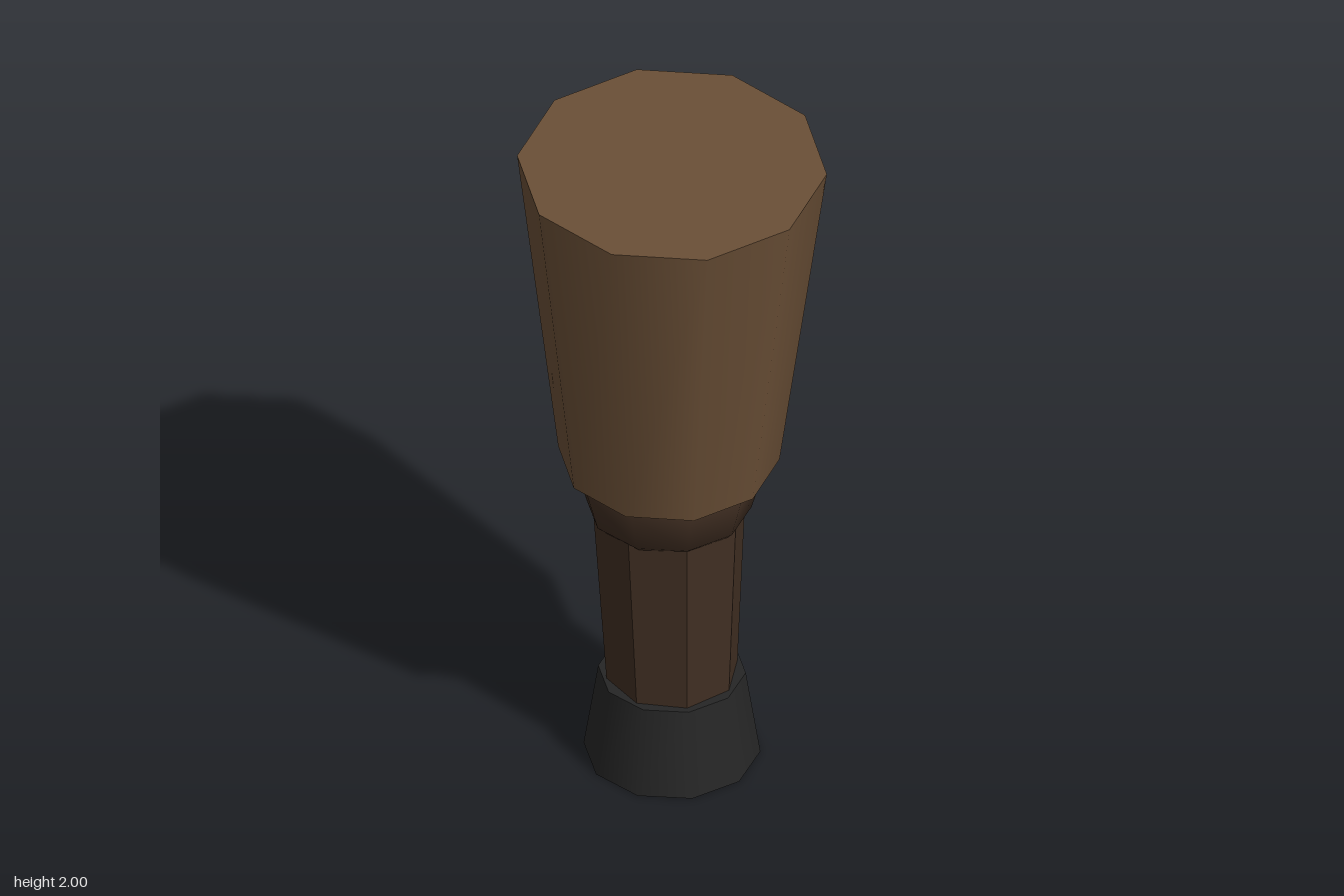
import * as THREE from 'three';

const material = (name, color, options = {}) => {
  const m = new THREE.MeshStandardMaterial({ color, ...options });
  m.name = name;
  return m;
};

export function createModel() {
  const group = new THREE.Group();
  group.name = 'leg';

  const brown = material('brown cloth', 0x6a4f36);
  const darkBrown = material('dark brown', 0x402e22);
  const darkBrownFlat = material('dark brown faceted', 0x402e22, { flatShading: true });
  const black = material('black leather', 0x262626);

  const add = (name, geometry, mat) => {
    const mesh = new THREE.Mesh(geometry, mat);
    mesh.name = name;
    group.add(mesh);
    return mesh;
  };

  // Tapered limb segment between two points in the x = 0 plane, given as [y, z, radius]
  const limb = (name, [y0, z0, r0], [y1, z1, r1], sides, mat) => {
    const length = Math.hypot(y1 - y0, z1 - z0);
    const mesh = add(name, new THREE.CylinderGeometry(r1, r0, length, sides), mat);
    mesh.position.set(0, (y0 + y1) / 2, (z0 + z1) / 2);
    mesh.rotation.x = Math.atan2(z1 - z0, y1 - y0);
    return mesh;
  };

  // Boot, shin and thigh
  limb('boot', [0, 0, 0.242], [0.265, 0, 0.202], 10, black);
  limb('shin', [0.2, 0.003, 0.18], [0.935, -0.038, 0.22], 8, darkBrownFlat);
  limb('thigh', [0.975, -0.038, 0.303], [1.984, 0, 0.424], 10, brown);

  // Knee ball, half hidden inside the thigh
  const knee = add('knee', new THREE.SphereGeometry(0.262, 10, 6), darkBrown);
  knee.position.set(0, 0.936, -0.038);
  knee.rotation.y = Math.PI / 2;

  return group;
}
